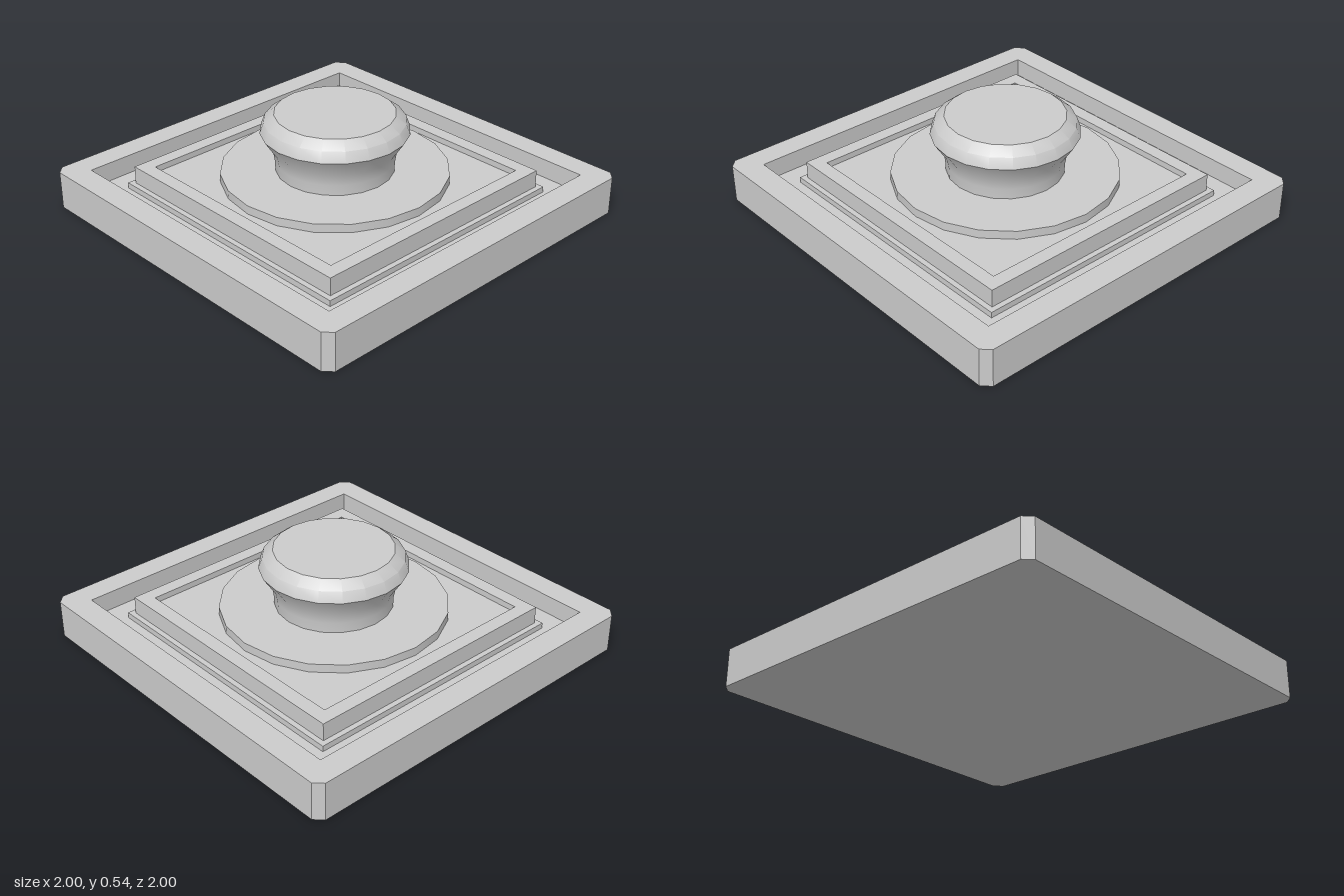
import * as THREE from 'three';
import { toCreasedNormals } from 'three/addons/utils/BufferGeometryUtils.js';

const material = new THREE.MeshStandardMaterial({ color: 0xcccccc });

// Square outline of half-width h with cut corners of size c
function squarePoints(h, c = 0) {
  if (!c) return [[-h, -h], [h, -h], [h, h], [-h, h]].map(p => new THREE.Vector2(...p));
  const k = h - c;
  return [[-k, -h], [k, -h], [h, -k], [h, k], [k, h], [-k, h], [-h, k], [-h, -k]]
    .map(p => new THREE.Vector2(...p));
}

export function createModel() {
  const model = new THREE.Group();

  const add = (name, geometry, y = 0) => {
    const mesh = new THREE.Mesh(geometry, material);
    mesh.name = name;
    mesh.position.y = y;
    model.add(mesh);
  };

  // Square ring standing between two heights
  const frame = (name, outer, inner, y0, y1, chamfer = 0) => {
    const shape = new THREE.Shape(squarePoints(outer, chamfer));
    shape.holes.push(new THREE.Path(squarePoints(inner).reverse()));
    const geometry = new THREE.ExtrudeGeometry(shape, { depth: y1 - y0, bevelEnabled: false });
    add(name, geometry.rotateX(-Math.PI / 2), y0);
  };

  // Solid square slab between two heights
  const slab = (name, half, y0, y1) =>
    add(name, new THREE.BoxGeometry(half * 2, y1 - y0, half * 2), (y0 + y1) / 2);

  // Base tray with a sunken channel
  frame('outerRim', 1, 0.87, 0, 0.2, 0.042);
  slab('channelFloor', 0.87, 0, 0.1);
  slab('lowerStep', 0.742, 0.1, 0.13);

  // Raised panel with a shallow recess
  frame('panelRim', 0.714, 0.64, 0.13, 0.222);
  slab('panelFloor', 0.64, 0.13, 0.19);

  // Round plate under the knob
  add('knobPlate', new THREE.CylinderGeometry(0.577, 0.577, 0.046, 20), 0.212);

  // Knob: narrow neck flaring to a rounded cap
  const profile = [
    [0.3, 0.23], [0.302, 0.29], [0.312, 0.35], [0.375, 0.445],
    [0.355, 0.5], [0.303, 0.54], [0, 0.54],
  ].map(p => new THREE.Vector2(...p));
  add('knob', toCreasedNormals(new THREE.LatheGeometry(profile, 20), 0.61));

  return model;
}
